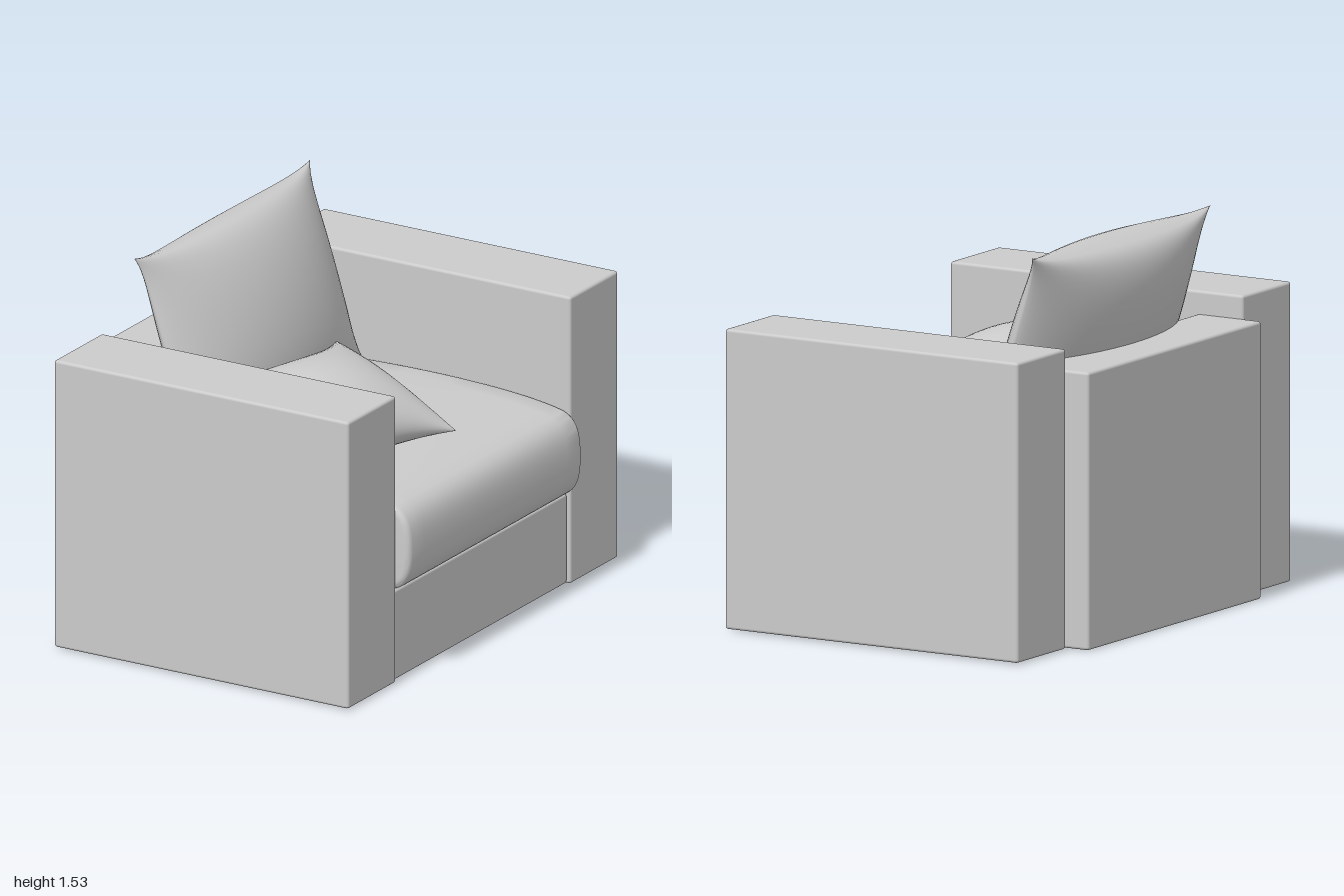
import * as THREE from 'three';
import { mergeGeometries, mergeVertices, toCreasedNormals } from 'three/addons/utils/BufferGeometryUtils.js';
import { RoundedBoxGeometry } from 'three/addons/geometries/RoundedBoxGeometry.js';

const material = new THREE.MeshStandardMaterial({ color: 0xcccccc });

function addMesh(group, name, geometry) {
  const mesh = new THREE.Mesh(geometry, material);
  mesh.name = name;
  group.add(mesh);
  return mesh;
}

// Box with softened edges given by its extents on each axis
function block(group, name, [x0, x1], [y0, y1], [z0, z1]) {
  const mesh = addMesh(group, name, new RoundedBoxGeometry(x1 - x0, y1 - y0, z1 - z0, 2, 0.012));
  mesh.position.set((x0 + x1) / 2, (y0 + y1) / 2, (z0 + z1) / 2);
}

// Stuffed pillow: two bulging sheets joined at a seam, edges pulled in between pointed corners
function pillowGeometry({ halfU, halfV, thick, pullU, pullV, powU, powV, ear }) {
  const sheets = [0, Math.PI].map((turn) => {
    const sheet = new THREE.PlaneGeometry(2, 2, 28, 28).rotateY(turn);
    const side = turn ? -1 : 1;
    const p = sheet.attributes.position;
    for (let i = 0; i < p.count; i++) {
      const u = Math.sin(p.getX(i) * Math.PI / 2);
      const v = Math.sin(p.getY(i) * Math.PI / 2);
      const bulge = Math.pow(Math.max(0, 1 - u * u), powU) * Math.pow(Math.max(0, 1 - v * v), powV);
      p.setXYZ(i,
        halfU * u * (1 - pullU * (1 - Math.pow(Math.abs(v), ear))),
        halfV * v * (1 - pullV * (1 - Math.pow(Math.abs(u), ear))),
        side * thick * bulge);
    }
    sheet.deleteAttribute('uv');
    sheet.deleteAttribute('normal');
    return sheet;
  });
  const geometry = mergeVertices(mergeGeometries(sheets), 1e-4);
  geometry.computeVertexNormals();
  return geometry;
}

// Place a pillow by its centre and the directions of its width and height
function placePillow(mesh, centre, across, up) {
  const x = new THREE.Vector3(...across).normalize();
  const z = new THREE.Vector3().crossVectors(x, new THREE.Vector3(...up)).normalize();
  const y = new THREE.Vector3().crossVectors(z, x);
  mesh.quaternion.setFromRotationMatrix(new THREE.Matrix4().makeBasis(x, y, z));
  mesh.position.set(...centre);
}

// Side profile with a rounded nose, extruded across the seat and domed on top
function seatGeometry() {
  const s = new THREE.Shape();
  s.moveTo(-0.44, 0.4);
  s.quadraticCurveTo(-0.44, 0.382, -0.42, 0.382);
  s.lineTo(0.66, 0.382);
  s.bezierCurveTo(0.72, 0.4, 0.738, 0.46, 0.738, 0.55);
  s.bezierCurveTo(0.738, 0.65, 0.72, 0.7, 0.66, 0.725);
  s.bezierCurveTo(0.5, 0.765, 0.2, 0.77, 0.05, 0.77);
  s.bezierCurveTo(-0.1, 0.77, -0.3, 0.765, -0.4, 0.755);
  s.quadraticCurveTo(-0.44, 0.755, -0.44, 0.72);
  s.closePath();
  const bevel = 0.025;
  const geometry = new THREE.ExtrudeGeometry(s, {
    depth: 1.285 - 2 * bevel, steps: 14, curveSegments: 10,
    bevelSize: bevel, bevelThickness: bevel, bevelOffset: -bevel, bevelSegments: 4,
  });
  geometry.translate(0, 0, -0.645 + bevel);
  const p = geometry.attributes.position;
  for (let i = 0; i < p.count; i++) {
    if (p.getY(i) < 0.7) continue;
    const fade = Math.max(0, 1 - (p.getZ(i) / 0.64) ** 2) * Math.max(0, 1 - ((p.getX(i) - 0.1) / 0.56) ** 2);
    p.setY(i, p.getY(i) + 0.015 * fade);
  }
  return toCreasedNormals(geometry, 0.7);
}

export function createModel() {
  const group = new THREE.Group();
  group.name = 'armchair';

  // Frame
  block(group, 'leftArm', [-0.66, 0.68], [0.005, 1.19], [0.645, 1]);
  block(group, 'rightArm', [-0.66, 0.68], [0.005, 1.19], [-1, -0.645]);
  block(group, 'backPanel', [-0.74, -0.45], [0, 1.097], [-0.61, 0.655]);
  block(group, 'base', [-0.41, 0.67], [0.01, 0.382], [-0.64, 0.65]);

  // Upholstery
  addMesh(group, 'seatCushion', seatGeometry());

  const backPillow = addMesh(group, 'backPillow', pillowGeometry({
    halfU: 0.65, halfV: 0.41, thick: 0.185, pullU: 0.06, pullV: 0.06, powU: 0.7, powV: 0.32, ear: 7,
  }));
  placePillow(backPillow, [-0.38, 1.14, 0.005], [0, 0, -1], [-0.25, 0.78, 0]);

  const loosePillow = addMesh(group, 'loosePillow', pillowGeometry({
    halfU: 0.34, halfV: 0.355, thick: 0.145, pullU: 0.2, pullV: 0.06, powU: 0.5, powV: 0.5, ear: 2.5,
  }));
  placePillow(loosePillow, [0.15, 0.92, 0.25], [0.62, -0.2, 0.14], [0.18, -0.03, -0.67]);

  return group;
}
